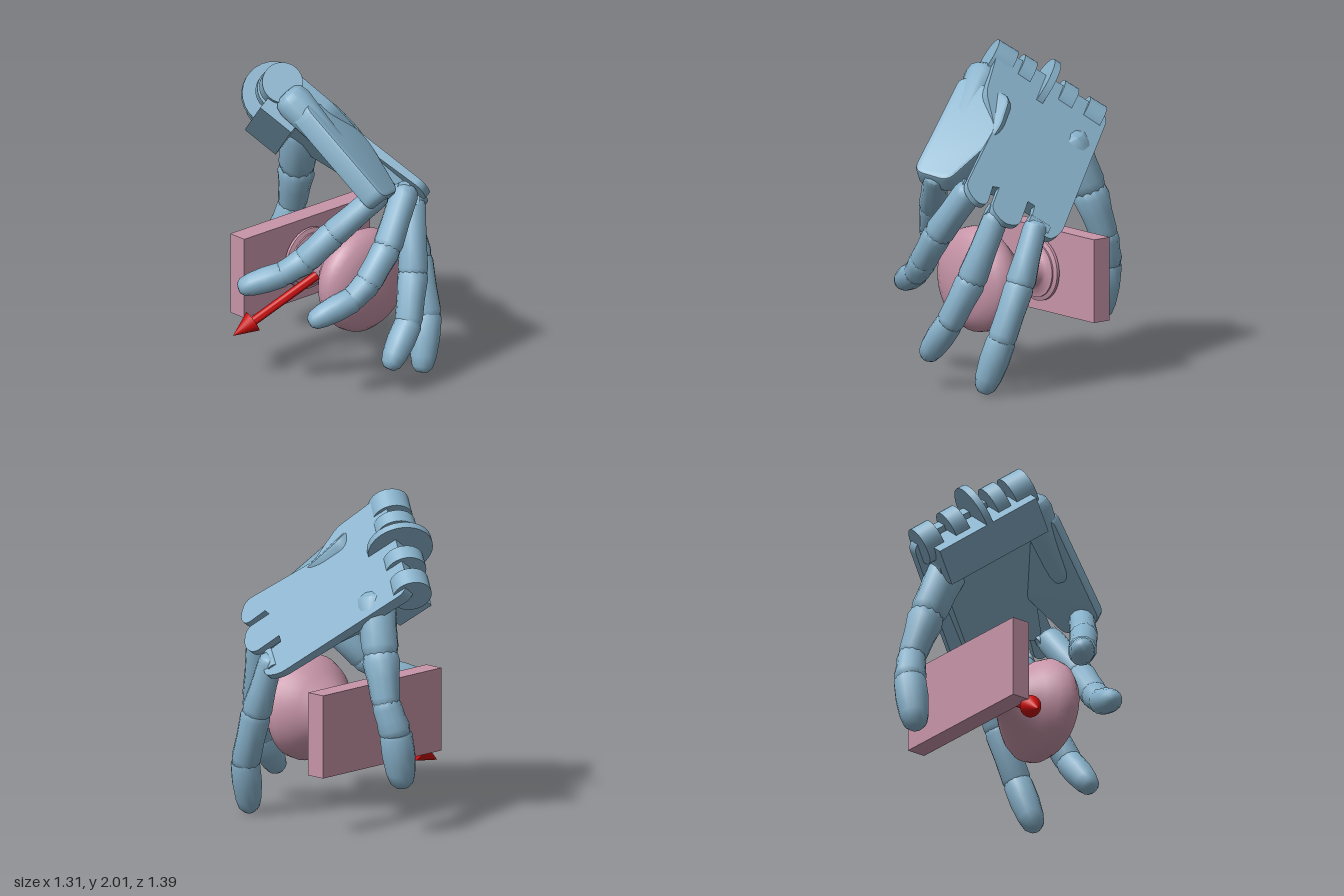
import * as THREE from 'three';
import { toCreasedNormals } from 'three/addons/utils/BufferGeometryUtils.js';

const V = (a) => new THREE.Vector3(...a);
const blue = new THREE.MeshStandardMaterial({ color: 0x88b2cb });
const pink = new THREE.MeshStandardMaterial({ color: 0xc795a8 });
const red = new THREE.MeshStandardMaterial({ color: 0xcc0d0d });
const UP = new THREE.Vector3(0, 1, 0);
const NORMAL = new THREE.Vector3(0.8, 0.6, 0.03); // back of the hand

function add(parent, name, geometry, material) {
  const mesh = new THREE.Mesh(geometry, material);
  mesh.name = name;
  parent.add(mesh);
  return mesh;
}

// Lathe along a line: profile entries are [radius, distance from a]
function turned(parent, name, a, b, profile, sides, material) {
  const pts = profile.map(([r, d]) => new THREE.Vector2(r, d));
  const geo = toCreasedNormals(new THREE.LatheGeometry(pts, sides).toNonIndexed(), 0.75);
  const mesh = add(parent, name, geo, material);
  mesh.position.copy(a);
  mesh.quaternion.setFromUnitVectors(UP, b.clone().sub(a).normalize());
}

// Closed limb segment with rounded ends
function segment(parent, name, a, b, r0, r1) {
  const L = a.distanceTo(b);
  turned(parent, name, a, b, [
    [0, 0], [r0 * 0.6, r0 * 0.08], [r0 * 0.9, r0 * 0.35], [r0, r0 * 0.8],
    [(r0 + r1) * 0.48, L * 0.5],
    [r1, L - r1 * 0.9], [r1 * 0.88, L - r1 * 0.4], [r1 * 0.55, L - r1 * 0.1], [0, L],
  ], 12, blue);
}

// Disc or pin centred on a point
function disc(parent, name, centre, axis, radius, width) {
  const mesh = add(parent, name, new THREE.CylinderGeometry(radius, radius, width, 28), blue);
  mesh.position.copy(centre);
  mesh.quaternion.setFromUnitVectors(UP, axis);
}

function roundedShape(points, r) {
  const shape = new THREE.Shape();
  const p = points.map(([x, y]) => new THREE.Vector2(x, y));
  p.forEach((c, i) => {
    const toward = (q) => {
      const d = q.clone().sub(c);
      return c.clone().add(d.setLength(Math.min(r, d.length() * 0.48)));
    };
    const s = toward(p[(i + p.length - 1) % p.length]);
    const e = toward(p[(i + 1) % p.length]);
    if (i) shape.lineTo(s.x, s.y); else shape.moveTo(s.x, s.y);
    shape.quadraticCurveTo(c.x, c.y, e.x, e.y);
  });
  shape.closePath();
  return shape;
}

// Layer of the palm: outline in (z, y) laid on the sloping hand plane, thinner toward the fingers
function palmLayer(parent, name, outline, wristDepth, fingerDepth) {
  const geo = new THREE.ExtrudeGeometry(roundedShape(outline, 0.045), {
    depth: 1, bevelEnabled: false, curveSegments: 6,
  });
  const pos = geo.attributes.position;
  for (let i = 0; i < pos.count; i++) {
    const z = pos.getX(i), y = pos.getY(i);
    const s = THREE.MathUtils.clamp((0.67 * z - 0.74 * y + 1.6) / 1.05, 0, 1);
    const v = new THREE.Vector3((1.09 - NORMAL.y * y - NORMAL.z * z) / NORMAL.x, y, z);
    // the top of every layer but the first is buried under the back plate
    v.addScaledVector(NORMAL, -0.01 - pos.getZ(i) * THREE.MathUtils.lerp(wristDepth, fingerDepth, s));
    pos.setXYZ(i, v.x, v.y, v.z);
  }
  geo.computeVertexNormals();
  add(parent, name, toCreasedNormals(geo, 0.5), blue);
}

// Finger from joint points; the last segment is the separate fingertip
function finger(parent, name, joints, radii) {
  const group = new THREE.Group();
  group.name = name;
  const p = joints.map(V);
  const last = p.length - 2;
  for (let i = 0; i <= last; i++) {
    const d = p[i + 1].clone().sub(p[i]).normalize();
    const a = p[i].clone().addScaledVector(d, i === last ? -0.01 : -0.05);
    const b = p[i + 1].clone().addScaledVector(d, i === last ? 0 : 0.05);
    if (i < last) segment(group, 'phalanx' + (i + 1), a, b, radii[i], radii[i + 1]);
    else {
      const r = radii[i], L = a.distanceTo(b);
      turned(group, 'fingertip', a, b, [
        [0, 0], [r * 0.93, 0], [r, 0.02], [r * 1.02, L * 0.4], [r * 0.9, L * 0.72],
        [r * 0.72, L * 0.9], [r * 0.42, L * 0.985], [0, L]], 14, blue);
    }
  }
  parent.add(group);
}

export function createModel() {
  const root = new THREE.Group();
  const hand = new THREE.Group();
  hand.name = 'hand';
  root.add(hand);

  // Palm: thin lobed back plate over an inset body
  palmLayer(hand, 'backPlate', [
    [-0.63, 1.52], [0.05, 0.97], [0.16, 0.94], [0.25, 1.04], [0.13, 1.16], [0.16, 1.19],
    [0.33, 1.04], [0.43, 1.06], [0.48, 1.15], [0.3, 1.3], [0.33, 1.33],
    [0.5, 1.17], [0.57, 1.2], [0.59, 1.29], [0.2, 1.57], [0.15, 1.76], [-0.07, 1.97], [-0.13, 1.95],
    [-0.6, 1.59],
  ], 0.08, 0.045);
  palmLayer(hand, 'palmBody', [
    [-0.56, 1.56], [-0.42, 1.42], [0.04, 1.08], [0.12, 1.1], [0.3, 1.24], [0.46, 1.28],
    [0.19, 1.57], [0.14, 1.76], [-0.08, 1.94],
  ], 0.22, 0.08);

  // Wrist hinge: rounded knuckles and one large disc along one axis, over a square block
  const w0 = V([-0.19, 1.88, -0.09]), w1 = V([0.13, 1.5, -0.58]);
  const axis = w1.clone().sub(w0).normalize();
  [[0.04, 0.125, 0.14], [0.27, 0.13, 0.09], [0.48, 0.2, 0.045], [0.7, 0.125, 0.1], [0.98, 0.12, 0.12]]
    .forEach(([t, r, w]) => disc(hand, 'wristHinge', w0.clone().lerp(w1, t), axis, r, w));
  const down = NORMAL.clone().negate();
  down.addScaledVector(axis, -down.dot(axis)).normalize();
  const forward = axis.clone().cross(down);
  const blockGeo = new THREE.BoxGeometry(0.7, 0.2, 0.24);
  blockGeo.translate(0, 0.1, Math.sign(forward.z) * 0.11);
  const block = add(hand, 'wristBlock', blockGeo, blue);
  block.quaternion.setFromRotationMatrix(new THREE.Matrix4().makeBasis(axis, down, forward));
  block.position.copy(w0).lerp(w1, 0.5);

  // Outer side plate of the palm, carrying the last finger
  const start = V([-0.08, 1.74, 0.12]), end = V([0.05, 1.3, 0.6]);
  const along = end.clone().sub(start).normalize();
  const face = V([0.4, 0.65, 0.6]);
  face.addScaledVector(along, -face.dot(along)).normalize();
  const side = along.clone().cross(face).normalize();
  const plate = new THREE.ExtrudeGeometry(roundedShape(
    [[-0.2, 0], [0.13, -0.04], [0.1, 0.66], [-0.11, 0.66], [-0.22, 0.36], [-0.24, 0.2]], 0.05), {
    depth: 0.1, bevelEnabled: true, bevelSize: 0.02, bevelThickness: 0.02, bevelSegments: 2, curveSegments: 6,
  });
  plate.translate(0, 0, -0.1);
  const sidePlate = add(hand, 'sidePlate', toCreasedNormals(plate, 0.5), blue);
  sidePlate.quaternion.setFromRotationMatrix(new THREE.Matrix4().makeBasis(side, along, face));
  sidePlate.position.copy(start);
  segment(hand, 'sidePlateRoot', V([-0.2, 1.84, -0.05]), V([-0.04, 1.45, 0.36]), 0.115, 0.08);

  // Fingers and thumb
  finger(hand, 'indexFinger',
    [[0.55, 1.0, 0.2], [0.55, 0.66, 0.32], [0.52, 0.33, 0.44], [0.42, 0.0, 0.5]], [0.075, 0.094, 0.09, 0.08]);
  finger(hand, 'middleFinger',
    [[0.43, 1.07, 0.41], [0.33, 0.68, 0.52], [0.22, 0.41, 0.6], [0.03, 0.17, 0.63]], [0.08, 0.094, 0.085, 0.08]);
  finger(hand, 'ringFinger',
    [[0.28, 1.22, 0.5], [0.07, 0.93, 0.57], [-0.08, 0.74, 0.56], [-0.18, 0.65, 0.53], [-0.44, 0.54, 0.43]],
    [0.088, 0.092, 0.087, 0.08, 0.076]);
  finger(hand, 'littleFinger',
    [[0.02, 1.28, 0.54], [-0.2, 1.04, 0.38], [-0.33, 0.87, 0.27], [-0.43, 0.78, 0.18], [-0.65, 0.7, 0.02]],
    [0.08, 0.087, 0.087, 0.078, 0.076]);
  finger(hand, 'thumb',
    [[0.2, 1.42, -0.35], [0.27, 1.1, -0.46], [0.31, 0.82, -0.545], [0.27, 0.63, -0.59], [0.21, 0.29, -0.59]],
    [0.125, 0.115, 0.09, 0.1, 0.1]);

  // Knuckle pins under the palm lobes
  [[0.55, 1.01, 0.18], [0.43, 1.09, 0.4], [0.28, 1.23, 0.48], [0.02, 1.27, 0.54]]
    .forEach((c) => disc(hand, 'knucklePin', V(c), axis, 0.04, 0.14));

  // Mounting board, round knob and flange
  const board = add(root, 'board', new THREE.BoxGeometry(1.03, 0.515, 0.125), pink);
  board.position.set(0.115, 0.63, -0.26);
  turned(root, 'knob', V([0.12, 0.63, -0.2]), V([0.12, 0.63, 1]), [
    [0, 0], [0.18, 0], [0.195, 0.012], [0.195, 0.03], [0.17, 0.04], [0.17, 0.05], [0.12, 0.06], [0.105, 0.08],
    [0.1, 0.13], [0.1, 0.19], [0.115, 0.23], [0.16, 0.28], [0.24, 0.36], [0.295, 0.42], [0.325, 0.48],
    [0.32, 0.53], [0.285, 0.575], [0.22, 0.61], [0.12, 0.635], [0, 0.64],
  ], 40, pink);

  // Direction arrow from the knob
  const a0 = V([0.12, 0.63, 0]), a1 = V([-0.49, 0.28, -0.2]), L = a0.distanceTo(a1);
  turned(root, 'arrow', a0, a1,
    [[0, 0], [0.028, 0], [0.028, L - 0.15], [0.068, L - 0.15], [0, L]], 20, red);

  return root;
}
